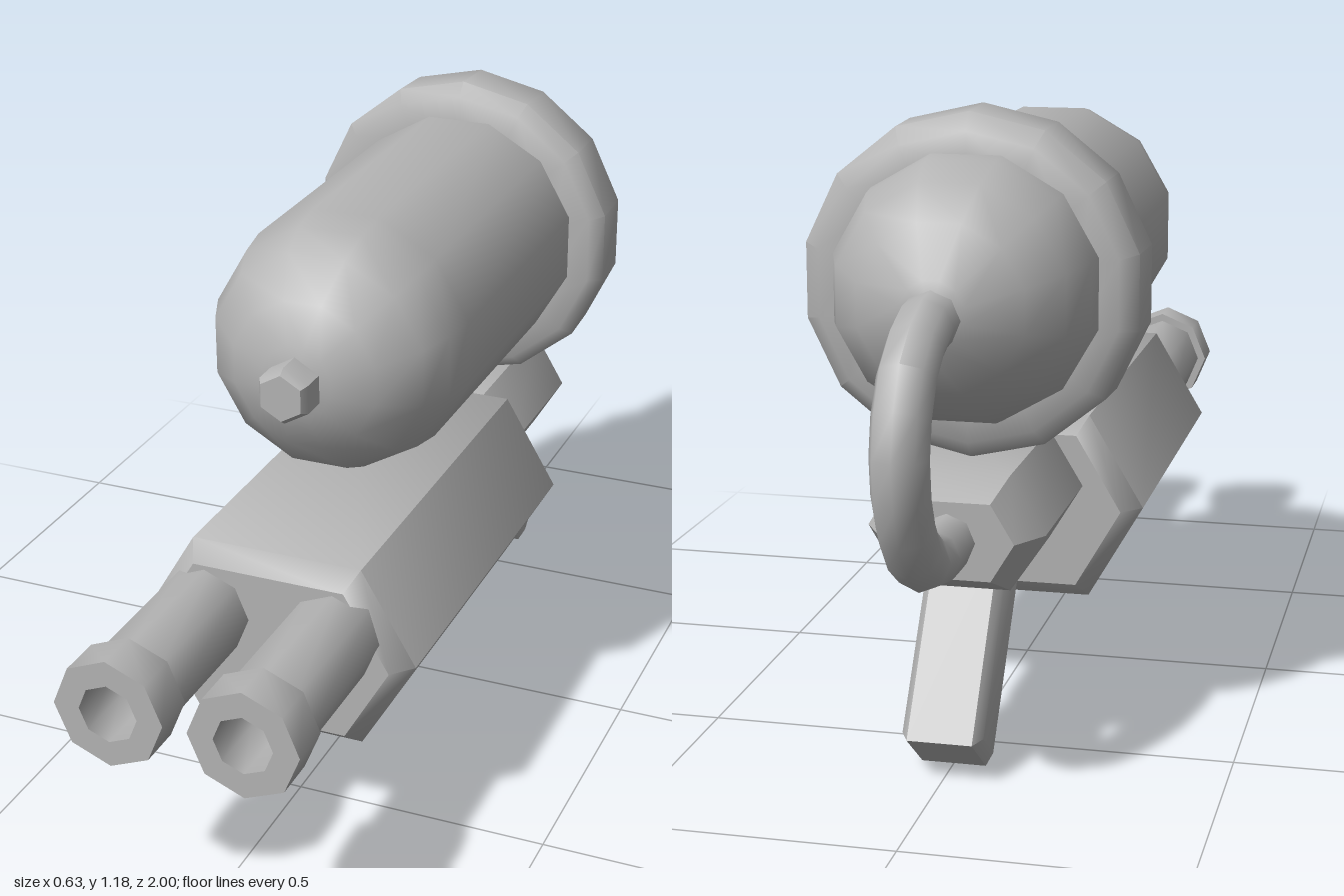
import * as THREE from 'three';
import { toCreasedNormals } from 'three/addons/utils/BufferGeometryUtils.js';

export function createModel() {
  const model = new THREE.Group();
  model.name = 'waterBlaster';
  const grey = new THREE.MeshStandardMaterial({ color: 0xb4b4b4 });
  grey.name = 'plainGrey';

  function add(name, geometry, x = 0, y = 0, z = 0) {
    const mesh = new THREE.Mesh(toCreasedNormals(geometry, 0.85), grey);
    mesh.name = name;
    mesh.position.set(x, y, z);
    model.add(mesh);
    return mesh;
  }

  // Turned part along z; profile is [z, radius] pairs from back to front
  function turned(profile, sides, start = 0) {
    const points = profile.map(([z, r]) => new THREE.Vector2(r, z));
    return new THREE.LatheGeometry(points, sides, start).rotateX(Math.PI / 2);
  }

  // Bevelled hexagonal block along z
  function hexBlock(wide, narrow, bottom, middle, top, back, front, bevelSize, bevelThickness) {
    const shape = new THREE.Shape([
      [narrow, bottom], [wide, middle], [narrow, top],
      [-narrow, top], [-wide, middle], [-narrow, bottom],
    ].map(([x, y]) => new THREE.Vector2(x, y)));
    return new THREE.ExtrudeGeometry(shape, {
      depth: front - back - 2 * bevelThickness,
      bevelEnabled: true, bevelSegments: 1, bevelSize, bevelThickness, bevelOffset: -bevelSize,
    }).translate(0, 0, back + bevelThickness);
  }

  // Water tank with domed ends
  add('tank', turned([
    [-0.76, 0], [-0.745, 0.06], [-0.69, 0.155], [-0.62, 0.215], [-0.54, 0.245], [-0.48, 0.253],
    [0.25, 0.253], [0.32, 0.242], [0.385, 0.215], [0.45, 0.145], [0.485, 0.07], [0.492, 0],
  ], 12, Math.PI / 12), 0, 0.864);

  // Collar around the tank
  add('tankCollar', turned([
    [-0.5, 0.22], [-0.5, 0.285], [-0.47, 0.318], [-0.365, 0.322], [-0.34, 0.295], [-0.34, 0.22],
  ], 14), 0, 0.862);

  // Small hexagonal cap on the tank front
  add('tankCap', turned([[0.46, 0.055], [0.535, 0.055], [0.55, 0.045], [0.55, 0]], 6), 0, 0.86);

  // Main and rear housings
  add('mainHousing', hexBlock(0.275, 0.168, 0.2, 0.385, 0.565, -0.24, 0.625, 0.032, 0.04));
  add('rearHousing', hexBlock(0.165, 0.1, 0.33, 0.437, 0.545, -0.655, -0.18, 0.036, 0.07));

  // Twin barrels with open muzzles
  for (const [side, name] of [[1, 'left'], [-1, 'right']]) {
    add(name + 'Barrel', turned([[0.56, 0.088], [0.93, 0.088]], 8), side * 0.128, 0.437);
    add(name + 'Muzzle', turned([
      [0.915, 0.08], [0.915, 0.105], [1, 0.105], [1, 0.056], [0.88, 0.056], [0.88, 0],
    ], 8), side * 0.128, 0.437);
  }

  // Slanted grip, drawn in side view and extruded across x
  const gripShape = new THREE.Shape([
    [0.33, 0.4], [0.615, 0], [0.72, 0.08], [0.495, 0.4],
  ].map(([back, y]) => new THREE.Vector2(back, y)));
  const grip = new THREE.ExtrudeGeometry(gripShape, {
    depth: 0.12, bevelEnabled: true, bevelSegments: 1,
    bevelSize: 0.02, bevelThickness: 0.015, bevelOffset: -0.02,
  });
  add('grip', grip.translate(0, 0, -0.06).rotateY(Math.PI / 2));

  // Hose from the tank down to the rear housing
  const hosePath = new THREE.CatmullRomCurve3([
    [0.858, -0.72], [0.852, -0.79], [0.8, -0.895], [0.7, -0.948], [0.6, -0.945],
    [0.5, -0.89], [0.445, -0.81], [0.436, -0.72], [0.436, -0.62],
  ].map(([y, z]) => new THREE.Vector3(0, y, z)));
  add('hose', new THREE.TubeGeometry(hosePath, 12, 0.052, 8));

  return model;
}
